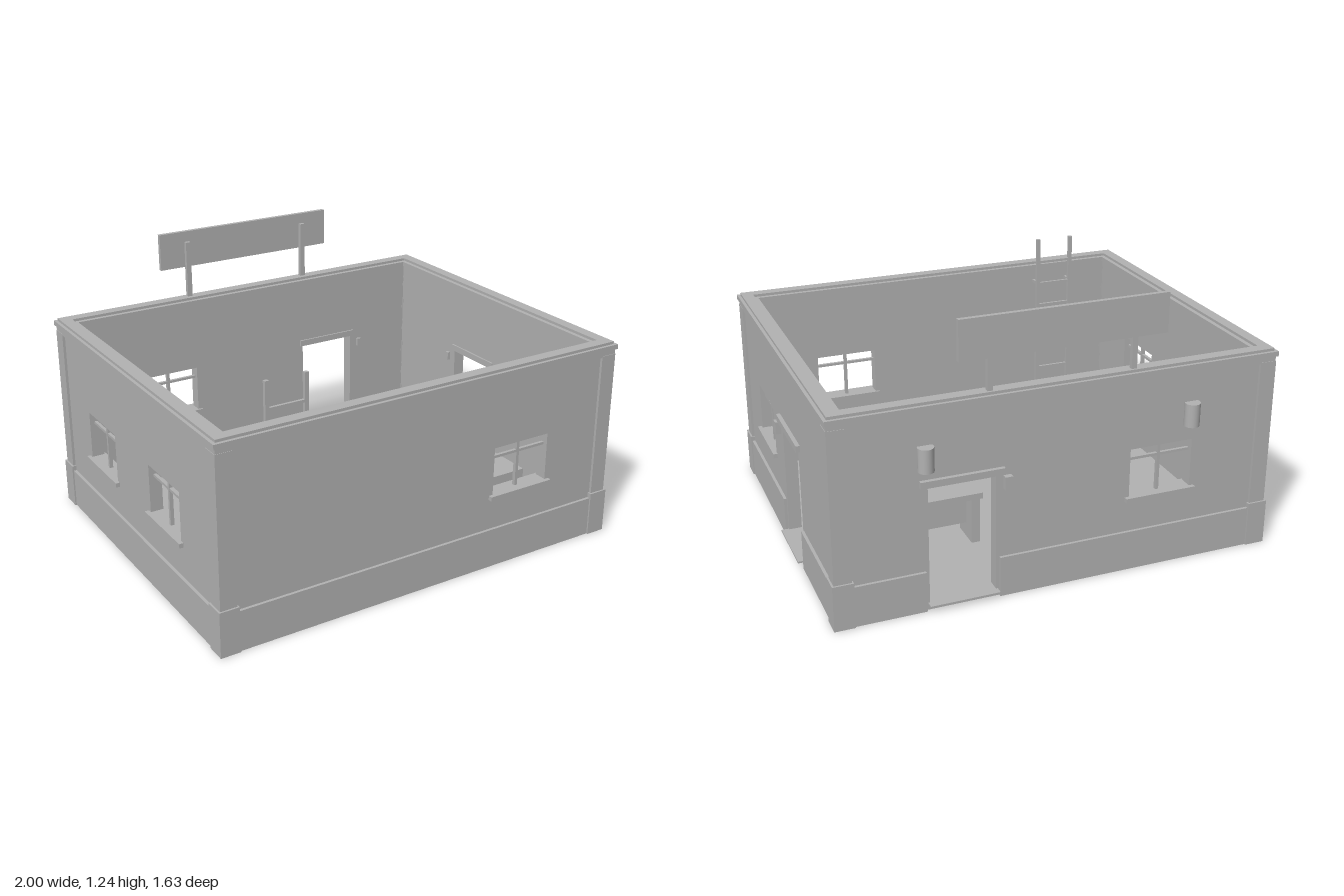
import * as THREE from 'three';

const plaster = new THREE.MeshStandardMaterial({ color: 0xb2b2b2 });
plaster.name = 'grey plaster';

// Half extents of the building and its centre
const HX = 0.9925, HZ = 0.8025, CX = -0.0075, CZ = 0.0125;
const WALL_OUT = 0.02, WALL_IN = 0.0775, WALL_TOP = 0.9;

// Box from its min and max corners
function box(parent, name, x0, x1, y0, y1, z0, z1) {
  const mesh = new THREE.Mesh(new THREE.BoxGeometry(x1 - x0, y1 - y0, z1 - z0), plaster);
  mesh.position.set((x0 + x1) / 2, (y0 + y1) / 2, (z0 + z1) / 2);
  mesh.name = name;
  parent.add(mesh);
  return mesh;
}

function rectPath(Type, x0, x1, y0, y1) {
  const p = new Type();
  p.moveTo(x0, y0);
  p.lineTo(x1, y0);
  p.lineTo(x1, y1);
  p.lineTo(x0, y1);
  p.closePath();
  return p;
}

// Rectangular ring around the building, given insets from the outer faces
function ring(parent, name, outer, inner, y0, y1) {
  const shape = rectPath(THREE.Shape, -HX + outer, HX - outer, -HZ + outer, HZ - outer);
  shape.holes.push(rectPath(THREE.Path, -HX + inner, HX - inner, -HZ + inner, HZ - inner));
  const geo = new THREE.ExtrudeGeometry(shape, { depth: y1 - y0, bevelEnabled: false });
  geo.rotateX(-Math.PI / 2);
  const mesh = new THREE.Mesh(geo, plaster);
  mesh.position.y = y0;
  mesh.name = name;
  parent.add(mesh);
}

// Window bars and the sills on both sides, centred on u
function addWindow(wall, u, out, inn) {
  const g = new THREE.Group();
  g.name = 'window';
  const mid = (out + inn) / 2;
  box(g, 'mullion', u - 0.007, u + 0.007, 0.345, 0.565, mid - 0.008, mid + 0.008);
  box(g, 'transom', u - 0.145, u + 0.145, 0.505, 0.517, mid - 0.007, mid + 0.007);
  box(g, 'outerSill', u - 0.165, u + 0.165, 0.325, 0.345, out - 0.02, out + 0.019);
  box(g, 'innerSill', u - 0.165, u + 0.165, 0.325, 0.345, inn - 0.01, inn + 0.02);
  wall.add(g);
}

// Lintels, threshold and the small boxes beside a doorway; side picks the outer box's side
function addDoor(wall, u, out, inn, side) {
  const g = new THREE.Group();
  g.name = 'doorway';
  box(g, 'outerLintel', u - 0.18, u + 0.18, 0.562, 0.592, out - 0.02, out + 0.018);
  box(g, 'innerLintel', u - 0.16, u + 0.16, 0.562, 0.592, inn - 0.008, inn + 0.02);
  box(g, 'threshold', u - 0.153, u + 0.153, 0.025, 0.033, inn, out + 0.034);
  const a = u + side * 0.193, b = u - side * 0.193;
  box(g, 'outerEntryBox', a - 0.017, a + 0.017, 0.495, 0.553, out, out + 0.025);
  box(g, 'innerSwitch', b - 0.01, b + 0.01, 0.5, 0.54, inn - 0.014, inn);
  wall.add(g);
}

// One wall in local axes: x along the wall, +z outward
function makeWall(name, half, dist, angle, windows, doors, side) {
  const wall = new THREE.Group();
  wall.name = name;
  wall.rotation.y = angle;
  const out = dist - WALL_OUT, inn = dist - WALL_IN, end = half - WALL_OUT;
  const shape = rectPath(THREE.Shape, -end, end, 0, WALL_TOP);
  windows.forEach(u => shape.holes.push(rectPath(THREE.Path, u - 0.145, u + 0.145, 0.345, 0.565)));
  doors.forEach(u => shape.holes.push(rectPath(THREE.Path, u - 0.145, u + 0.145, 0.025, 0.562)));
  const geo = new THREE.ExtrudeGeometry(shape, { depth: out - inn, bevelEnabled: false });
  const panel = new THREE.Mesh(geo, plaster);
  panel.position.z = inn;
  panel.name = 'wallPanel';
  wall.add(panel);
  // Plinth, broken at the doorway
  let start = -half + 0.04;
  doors.forEach(u => {
    box(wall, 'plinth', start, u - 0.16, 0, 0.182, out - 0.01, dist - 0.007);
    start = u + 0.16;
  });
  box(wall, 'plinth', start, half - 0.04, 0, 0.182, out - 0.01, dist - 0.007);
  windows.forEach(u => addWindow(wall, u, out, inn));
  doors.forEach(u => addDoor(wall, u, out, inn, side));
  return wall;
}

function makeLadder() {
  const g = new THREE.Group();
  g.name = 'ladder';
  for (const x of [-0.705, -0.53]) {
    box(g, 'rail', x - 0.009, x + 0.009, 0.03, 1.06, 0.677, 0.693);
    for (const y of [0.2, 0.82]) box(g, 'bracket', x - 0.006, x + 0.006, y, y + 0.015, 0.69, 0.745);
  }
  for (let y = 0.13; y < 0.95; y += 0.115) box(g, 'rung', -0.7, -0.535, y, y + 0.012, 0.679, 0.691);
  return g;
}

function makeFurniture() {
  const g = new THREE.Group();
  g.name = 'furniture';
  // Table with end panels
  box(g, 'tableTop', 0.19, 0.71, 0.247, 0.275, -0.38, -0.21);
  for (const x of [0.2, 0.66]) box(g, 'tableEnd', x, x + 0.04, 0.03, 0.247, -0.37, -0.22);
  box(g, 'tableBack', 0.24, 0.66, 0.1, 0.247, -0.305, -0.285);
  // Cabinets with handles
  box(g, 'wideCabinet', 0.3, 0.71, 0.03, 0.275, 0.31, 0.555);
  box(g, 'narrowCabinet', 0.1, 0.3, 0.03, 0.255, 0.312, 0.49);
  for (const [x0, x1, y] of [[0.2, 0.28, 0.2], [0.46, 0.54, 0.21], [0.155, 0.175, 0.12], [0.385, 0.405, 0.12], [0.605, 0.625, 0.12]])
    box(g, 'handle', x0, x1, y, y + 0.02, 0.3, 0.313);
  return g;
}

export function createModel() {
  const model = new THREE.Group();
  model.name = 'smallBuilding';
  const shell = new THREE.Group();
  shell.name = 'shell';
  shell.position.set(CX, 0, CZ);
  model.add(shell);

  // Walls with openings, in world positions turned to wall positions
  shell.add(
    makeWall('frontWall', HX, HZ, 0, [0.48 - CX], [], 1),
    makeWall('backWall', HX, HZ, Math.PI, [0.465 + CX], [-0.43 + CX], 1),
    makeWall('leftWall', HZ, HX, Math.PI / 2, [-0.36 + CZ], [0.1 + CZ], -1),
    makeWall('rightWall', HZ, HX, -Math.PI / 2, [-0.325 - CZ, 0.31 - CZ], [], 1));

  // Floor
  box(shell, 'floor', -HX + 0.03, HX - 0.03, 0, 0.028, -HZ + 0.03, HZ - 0.03);

  // Corner pilasters on taller plinth blocks
  for (const sx of [-1, 1]) for (const sz of [-1, 1]) {
    const post = (name, w, inset, y0, y1) => {
      // L-shaped from two overlapping slabs, so the inside corner stays clear
      for (const [lx, lz] of [[w, 0.07], [0.07, w]]) {
        const m = box(shell, name, -lx / 2, lx / 2, y0, y1, -lz / 2, lz / 2);
        m.position.x = sx * (HX - inset - lx / 2);
        m.position.z = sz * (HZ - inset - lz / 2);
      }
    };
    post('cornerPlinth', 0.09, 0, 0, 0.205);
    post('cornerPilaster', 0.075, 0.008, 0.2, 0.87);
  }

  // Frieze, cornice and parapet cap
  ring(shell, 'frieze', 0.01, 0.0775, 0.863, 0.892);
  ring(shell, 'cornice', 0.002, 0.0875, 0.892, 0.914);
  ring(shell, 'parapetCap', 0.016, 0.0675, 0.914, 0.926);

  // Rooftop board on two posts
  const board = new THREE.Group();
  board.name = 'roofBoard';
  box(board, 'boardPanel', -0.46, 0.445, 1.07, 1.243, -0.782, -0.762);
  for (const x of [-0.3225, 0.3075]) box(board, 'boardPost', x - 0.012, x + 0.012, 0.92, 1.193, -0.764, -0.744);
  model.add(board);

  // Half-round lamps on the back wall
  for (const x of [-0.595, 0.585]) {
    const lamp = new THREE.Mesh(new THREE.CylinderGeometry(0.034, 0.034, 0.104, 20), plaster);
    lamp.position.set(x, 0.69, -0.784);
    lamp.name = 'wallLamp';
    model.add(lamp);
  }

  model.add(makeLadder(), makeFurniture());
  return model;
}
